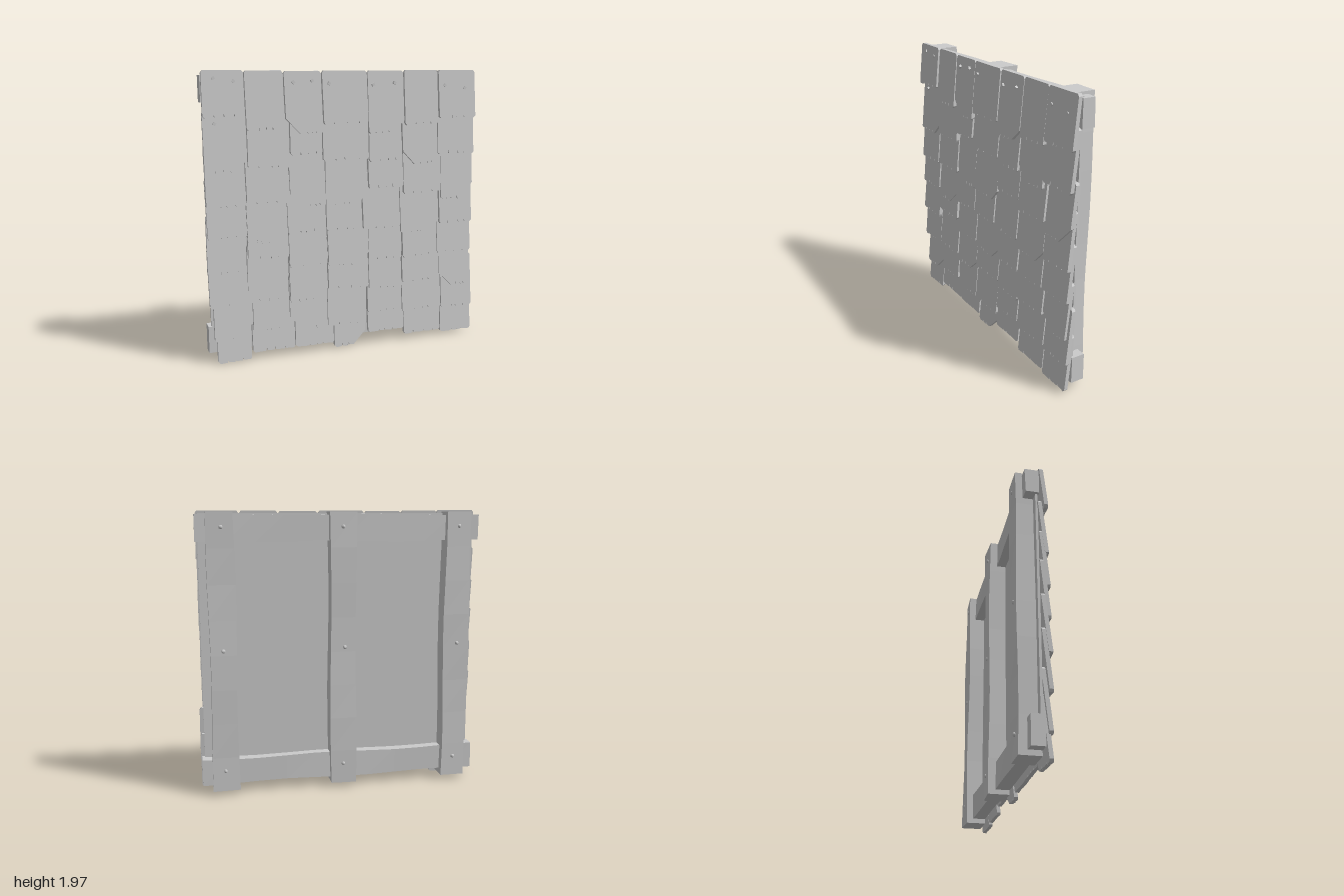
import * as THREE from 'three';

const material = new THREE.MeshStandardMaterial({ color: 0xcccccc, flatShading: true });

// Small seeded generator for the worn edges
let seed = 7;
const rand = (a, b) => {
  seed = (seed * 16807) % 2147483647;
  return a + (b - a) * (seed / 2147483647);
};

function add(group, name, geometry, x = 0, y = 0, z = 0) {
  const mesh = new THREE.Mesh(geometry, material);
  mesh.name = name;
  mesh.position.set(x, y, z);
  group.add(mesh);
  return mesh;
}

// Side edges of the seven shingles in each row, top row first
const EDGES = [
  [-1, -0.72, -0.455, -0.19, 0.14, 0.415, 0.68, 0.975],
  [-1, -0.71, -0.42, -0.19, 0.15, 0.4, 0.68, 0.975],
  [-1, -0.73, -0.43, -0.17, 0.14, 0.41, 0.71, 0.975],
  [-1, -0.73, -0.45, -0.17, 0.1, 0.39, 0.7, 0.97],
  [-1, -0.73, -0.44, -0.16, 0.15, 0.41, 0.69, 0.97],
  [-1, -0.73, -0.44, -0.16, 0.15, 0.41, 0.71, 0.97],
  [-0.97, -0.7, -0.44, -0.16, 0.14, 0.41, 0.73, 0.99],
  [-0.95, -0.71, -0.4, -0.11, 0.14, 0.43, 0.73, 0.99],
];
// Lower edge of each shingle
const BOTTOMS = [
  [1.68, 1.59, 1.56, 1.62, 1.55, 1.6, 1.64],
  [1.32, 1.34, 1.42, 1.37, 1.35, 1.32, 1.38],
  [1.09, 1.1, 1.06, 1.06, 1.16, 1.11, 1.05],
  [0.88, 0.83, 0.88, 0.88, 0.87, 0.82, 0.87],
  [0.64, 0.72, 0.64, 0.62, 0.64, 0.64, 0.65],
  [0.41, 0.42, 0.39, 0.45, 0.42, 0.45, 0.39],
  [0.17, 0.21, 0.18, 0.18, 0.25, 0.23, 0.22],
  [0.015, 0.06, 0.06, 0.02, 0.1, 0.05, 0.03],
];
// Broken lower corners, keyed by row and column: [left, right]
const BROKEN = {
  '0,2': [0.09, 0], '0,4': [0, 0.07], '1,0': [0, 0.07], '1,5': [0.08, 0],
  '2,2': [0.08, 0], '2,3': [0, 0.06], '2,6': [0, 0.1], '3,1': [0, 0.09],
  '3,5': [0, 0.07], '4,3': [0, 0.07], '5,2': [0, 0.07], '5,6': [0.09, 0],
  '6,0': [0, 0.09], '6,2': [0.09, 0], '7,3': [0, 0.09],
};

const SLOPE = 0.1, THICK = 0.026, FRONT = 0.097;

// One leaning shingle with a nicked lower edge
function shingle(x0, x1, bottom, top, left, right) {
  const w = x1 - x0, tilt = rand(-0.012, 0.012), flare = rand(-0.005, 0.005);
  const low = (x) => bottom + (tilt * (x - (x0 + x1) / 2)) / w;
  const s = new THREE.Shape();
  s.moveTo(x0 + 0.012, top);
  s.lineTo(x0, top - 0.015);
  s.lineTo(x0 + flare, bottom + left + 0.012);
  s.lineTo(x0 + left + 0.012, low(x0));
  for (const t of [0.3, 0.52, 0.74]) {
    const x = x0 + left + (w - left - right) * (t + rand(-0.07, 0.07));
    const y = low(x) + rand(-0.003, 0.003);
    s.lineTo(x - 0.005, y);
    s.lineTo(x, y + rand(0.01, 0.026));
    s.lineTo(x + 0.005, y + 0.003);
  }
  s.lineTo(x1 - right - 0.012, low(x1));
  s.lineTo(x1 + flare, bottom + right + 0.012);
  s.lineTo(x1, top - 0.015);
  s.lineTo(x1 - 0.012, top);
  const g = new THREE.ExtrudeGeometry(s, { depth: THICK, bevelEnabled: false });
  const p = g.attributes.position, lift = rand(-0.003, 0.003);
  for (let i = 0; i < p.count; i++) {
    p.setZ(i, p.getZ(i) + FRONT - THICK + lift - SLOPE * (p.getY(i) - bottom));
  }
  g.computeVertexNormals();
  return g;
}

// Rough timber: a segmented box whose sides waver along its length
function timber(w, h, d, alongY, phase) {
  const g = new THREE.BoxGeometry(w, h, d, alongY ? 1 : 10, alongY ? 8 : 1, 1);
  const p = g.attributes.position;
  for (let i = 0; i < p.count; i++) {
    const x = p.getX(i), y = p.getY(i), z = p.getZ(i);
    const back = z < 0 ? 1 : 0;
    if (alongY) {
      const side = Math.sign(x);
      p.setX(i, x + 0.006 * Math.sin(y * 4 + phase + side));
      p.setZ(i, z + back * (0.006 + 0.005 * Math.sin(y * 5 + phase * 2 + side * 1.5)));
    } else {
      p.setY(i, y + 0.005 * Math.sin(x * 6 + phase + Math.sign(y)));
      p.setZ(i, z + back * 0.006 * Math.sin(x * 5 + phase + y * 6));
    }
  }
  g.computeVertexNormals();
  return g;
}

export function createModel() {
  const model = new THREE.Group();
  model.name = 'shingledPanel';

  // Overlapping shingles
  const shingles = new THREE.Group();
  shingles.name = 'shingles';
  model.add(shingles);
  BOTTOMS.forEach((row, r) => row.forEach((bottom, c) => {
    const [left, right] = BROKEN[`${r},${c}`] || [0, 0];
    const top = r === 0 ? 1.98 - rand(0, 0.01) : bottom + 0.4;
    const g = shingle(EDGES[r][c] + 0.004, EDGES[r][c + 1] - 0.004, bottom, top, left, right);
    add(shingles, 'shingle', g);
  }));

  // Thin board behind the shingles
  add(model, 'backingBoard', new THREE.BoxGeometry(1.94, 1.86, 0.016), -0.01, 1.03, 0.026);

  // Back frame: three posts and two cross beams
  const posts = [-0.84, -0.015, 0.815];
  posts.forEach((x, i) => {
    add(model, 'post', timber(0.18, 1.925, 0.145, true, i * 2.1), x, 1.008, -0.033);
    // Round nail heads on the back of the post
    for (const y of [0.19, 1.04, 1.87]) {
      const nail = add(model, 'backNail', new THREE.SphereGeometry(0.014, 8, 6), x + rand(-0.01, 0.01), y, -0.099);
      nail.scale.z = 0.8;
    }
  });
  [0.17, 1.86].forEach((y, i) => {
    add(model, 'crossBeam', timber(1.98, 0.18, 0.09, false, i * 2), -0.01, y, -0.005);
  });

  // Square nail heads on the front
  const nails = [
    [-0.92, 1.93], [-0.79, 1.91], [-0.39, 1.9], [-0.26, 1.91], [-0.14, 1.89],
    [0.18, 1.88], [0.34, 1.89], [0.73, 1.87], [0.89, 1.85], [-0.92, 1.64],
  ];
  for (const [x, y] of nails) {
    const z = y < 1.7 ? 0.066 : 0.07;
    const nail = add(model, 'frontNail', new THREE.BoxGeometry(0.019, 0.019, 0.022), x, y, z);
    nail.rotation.z = rand(0.4, 1.1);
  }
  return model;
}
